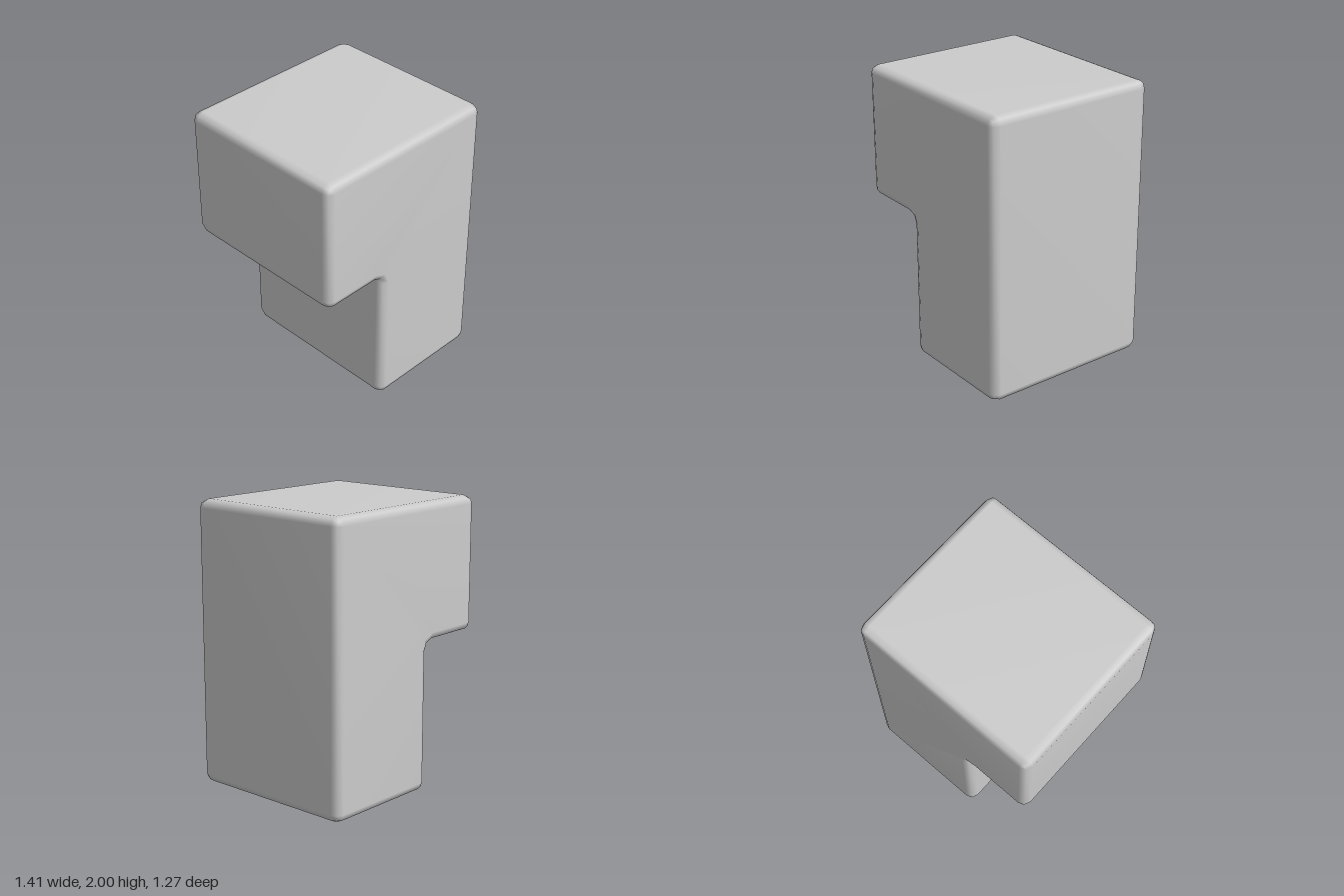
import * as THREE from 'three';
import { mergeVertices } from 'three/addons/utils/BufferGeometryUtils.js';

const HALF_DEPTH = 0.635;
const R = 0.06; // edge rounding, two segments per edge

// Stepped profile, counter-clockwise seen from the front
const CORNERS = [
  [-0.205, 0], [0.705, 0], [0.705, 2], [-0.705, 2], [-0.705, 1.05], [-0.205, 1.05],
].map(([x, y]) => new THREE.Vector2(x, y));

// Profile with every corner rounded, moved inwards by inset
function outline(inset) {
  const points = [];
  const n = CORNERS.length;
  CORNERS.forEach((p, i) => {
    const u = p.clone().sub(CORNERS[(i + n - 1) % n]).normalize();
    const v = CORNERS[(i + 1) % n].clone().sub(p).normalize();
    const side = Math.sign(u.cross(v)); // +1 outer corner, -1 inner corner
    const n1 = new THREE.Vector2(u.y, -u.x);
    const n2 = new THREE.Vector2(v.y, -v.x);
    const mid = n1.clone().add(n2).normalize();
    const centre = p.clone().addScaledVector(n1, -side * R).addScaledVector(n2, -side * R);
    for (const dir of [n1, mid, n2]) {
      points.push(centre.clone().addScaledVector(dir, side * R - inset));
    }
  });
  return points;
}

function roundedBlock() {
  // Layers from back to front: rounded edge, straight wall, rounded edge
  const layers = [];
  for (const s of [-1, 1]) {
    for (const step of s < 0 ? [2, 1, 0] : [0, 1, 2]) {
      const a = (step * Math.PI) / 4;
      const z = s * (HALF_DEPTH - R + R * Math.sin(a));
      layers.push({ z, points: outline(R * (1 - Math.cos(a))) });
    }
  }
  const count = layers[0].points.length;
  const positions = layers.flatMap(({ z, points }) => points.flatMap((p) => [p.x, p.y, z]));
  const index = [];

  // Walls between neighbouring layers
  for (let k = 0; k < layers.length - 1; k++) {
    for (let i = 0; i < count; i++) {
      const j = (i + 1) % count;
      const a = k * count;
      const b = a + count;
      index.push(a + i, a + j, b + j, a + i, b + j, b + i);
    }
  }

  // Flat back and front
  const last = (layers.length - 1) * count;
  for (const [a, b, c] of THREE.ShapeUtils.triangulateShape(layers[0].points, [])) {
    index.push(a, c, b, last + a, last + b, last + c);
  }

  let geometry = new THREE.BufferGeometry();
  geometry.setAttribute('position', new THREE.Float32BufferAttribute(positions, 3));
  geometry.setIndex(index);
  geometry = mergeVertices(geometry, 1e-4);

  // Drop triangles that collapsed at the corners
  const merged = geometry.index.array;
  const clean = [];
  for (let i = 0; i < merged.length; i += 3) {
    const [a, b, c] = [merged[i], merged[i + 1], merged[i + 2]];
    if (a !== b && b !== c && c !== a) clean.push(a, b, c);
  }
  geometry.setIndex(clean);
  geometry.computeVertexNormals();
  return geometry;
}

export function createModel() {
  const group = new THREE.Group();
  group.name = 'steppedBlock';
  const block = new THREE.Mesh(
    roundedBlock(),
    new THREE.MeshStandardMaterial({ color: 0xcccccc }),
  );
  block.name = 'block';
  group.add(block);
  return group;
}
